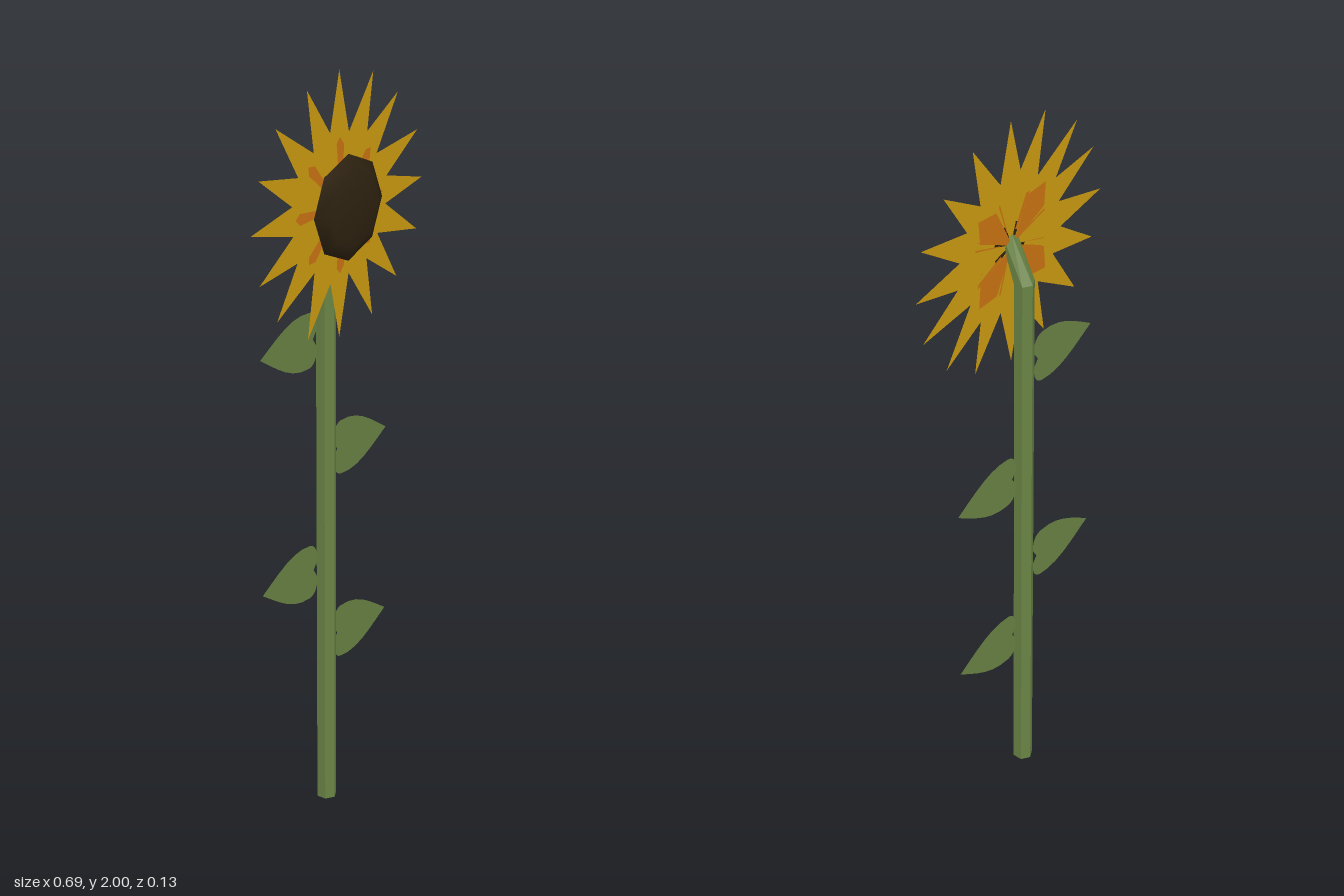
import * as THREE from 'three';

const mat = (name, color) => {
  const m = new THREE.MeshStandardMaterial({ color, side: THREE.DoubleSide });
  m.name = name;
  return m;
};

export function createModel() {
  const green = mat('leafGreen', 0x6a8345);
  const yellow = mat('petalYellow', 0xcc9c10);
  const orange = mat('petalOrange', 0xcc7412);
  const brown = mat('seedBrown', 0x2e2210);
  const model = new THREE.Group();
  const add = (parent, name, geometry, material) => {
    const mesh = new THREE.Mesh(geometry, material);
    mesh.name = name;
    parent.add(mesh);
    return mesh;
  };

  // Six-sided stem: straight, then bent forward to the back of the flower
  const R = 0.027, bendY = 1.57;
  let stem = new THREE.CylinderGeometry(R, R, 2, 6, 2);
  const p = stem.attributes.position;
  for (let i = 0; i < p.count; i++) {
    const x = p.getX(i) - 0.002, y = p.getY(i), z = p.getZ(i);
    if (y > 0.5) p.setXYZ(i, x, 1.66 - (z / R) * 0.03, 0.001);
    else p.setXYZ(i, x, y < -0.5 ? 0 : bendY, z - 0.039);
  }
  stem = stem.toNonIndexed();
  stem.computeVertexNormals();
  add(model, 'stem', stem, green);

  // Flat heart-shaped leaves on alternating sides
  const leafShape = new THREE.Shape();
  leafShape.moveTo(0.045, 0);
  leafShape.lineTo(0.03, 0.022);
  leafShape.quadraticCurveTo(0.028, 0.068, 0.06, 0.074);
  leafShape.bezierCurveTo(0.13, 0.082, 0.18, 0.045, 0.253, 0);
  leafShape.bezierCurveTo(0.18, -0.045, 0.13, -0.082, 0.06, -0.074);
  leafShape.quadraticCurveTo(0.028, -0.068, 0.03, -0.022);
  leafShape.closePath();
  const leafGeo = new THREE.ShapeGeometry(leafShape, 6);
  [[1, 0.465], [-1, 0.68], [1, 0.99], [-1, 1.315]].forEach(([side, y]) => {
    const leaf = add(model, side > 0 ? 'leftLeaf' : 'rightLeaf', leafGeo, green);
    leaf.position.set(side > 0 ? 0 : -0.009, y, -0.04);
    if (side < 0) leaf.rotation.y = Math.PI;
  });

  // Flower head
  const head = new THREE.Group();
  head.name = 'flowerHead';
  head.position.set(-0.001, 1.66, 0);
  model.add(head);

  const kite = (length, widestAt, halfWidth) => new THREE.ShapeGeometry(new THREE.Shape([
    new THREE.Vector2(0, 0), new THREE.Vector2(widestAt, -halfWidth),
    new THREE.Vector2(length, 0), new THREE.Vector2(widestAt, halfWidth),
  ]));
  const petalGeo = kite(0.343, 0.15, 0.046);
  const baseGeo = kite(0.175, 0.125, 0.042);

  // Sixteen pointed petals in three layers, with orange petal bases
  for (let i = 0; i < 16; i++) {
    const angle = (i * Math.PI) / 8;
    const layer = i % 2 ? 'front' : i % 4 ? 'back' : 'middle';
    const z = { back: 0, middle: 0.003, front: 0.007 }[layer];
    const place = (name, geometry, material, depth) => {
      const m = add(head, name, geometry, material);
      m.rotation.z = angle;
      m.position.z = depth;
    };
    place(layer + 'Petal', petalGeo, yellow, z);
    if (layer !== 'front') place('petalBaseFront', baseGeo, orange, 0.005);
    if (layer === 'back') place('petalBaseBack', baseGeo, orange, -0.002);
  }

  // Flattened eight-sided seed disc
  const disc = new THREE.SphereGeometry(0.137, 8, 4);
  disc.rotateX(Math.PI / 2);
  disc.scale(1, 1, 0.031 / 0.137);
  add(head, 'seedDisc', disc, brown).position.z = 0.032;

  return model;
}
